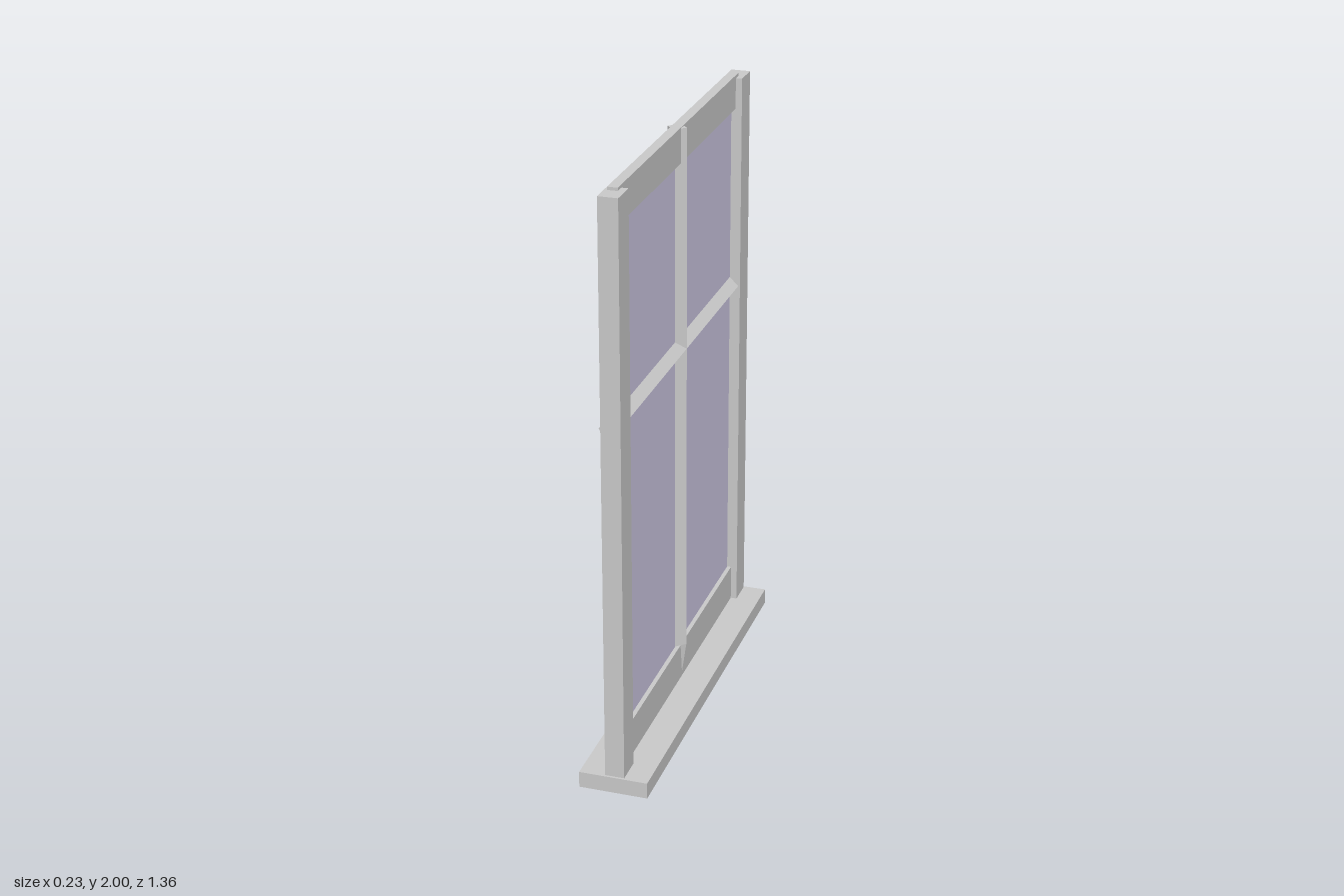
import * as THREE from 'three';

const frameMaterial = new THREE.MeshStandardMaterial({ color: 0xcccccc, flatShading: true });
const glassMaterial = new THREE.MeshStandardMaterial({ color: 0xd0cae6 });
const PLANE_X = -0.003; // centre plane of rails, bars and glass
const BAR = 0.032; // half diagonal of a glazing bar

// Box given by its lower and upper limits on each axis
function block(name, [x0, x1], [y0, y1], [z0, z1], material = frameMaterial) {
  const mesh = new THREE.Mesh(new THREE.BoxGeometry(x1 - x0, y1 - y0, z1 - z0), material);
  mesh.position.set((x0 + x1) / 2, (y0 + y1) / 2, (z0 + z1) / 2);
  mesh.name = name;
  return mesh;
}

// Upright four-sided bar with its edges pointing along x and z
function diamondBar(name, length, topRadius = BAR, bottomRadius = BAR) {
  const mesh = new THREE.Mesh(new THREE.CylinderGeometry(topRadius, bottomRadius, length, 4), frameMaterial);
  mesh.name = name;
  return mesh;
}

export function createModel() {
  const model = new THREE.Group();
  model.name = 'window';

  // Sill and side posts
  model.add(block('sill', [-0.114, 0.114], [0, 0.055], [-0.68, 0.68]));
  model.add(block('frontPost', [-0.029, 0.035], [0.055, 1.99], [0.58, 0.672]));
  model.add(block('backPost', [-0.029, 0.035], [0.055, 1.99], [-0.675, -0.582]));

  // Top and bottom rails
  const railX = [PLANE_X - 0.0165, PLANE_X + 0.0165];
  model.add(block('topRail', railX, [1.885, 2], [-0.612, 0.612]));
  model.add(block('bottomRail', railX, [0.055, 0.18], [-0.612, 0.612]));

  // Glass pane
  model.add(block('glass', [PLANE_X - 0.002, PLANE_X + 0.002], [0.17, 1.89], [-0.6, 0.6], glassMaterial));

  // Upright glazing bar with a tapered foot that sinks into the bottom rail
  const upright = new THREE.Group();
  upright.name = 'uprightBar';
  const shaft = diamondBar('uprightShaft', 1.817);
  shaft.position.y = 0.18 + 1.817 / 2;
  const foot = diamondBar('taperedFoot', 0.115, BAR, 0.016);
  foot.position.y = 0.18 - 0.115 / 2;
  upright.add(shaft, foot);
  upright.position.x = PLANE_X;
  model.add(upright);

  // Crossing glazing bar, let into both posts
  const crossBar = diamondBar('crossBar', 1.342);
  crossBar.rotation.x = Math.PI / 2;
  crossBar.position.set(PLANE_X, 1.26, 0);
  model.add(crossBar);

  return model;
}
